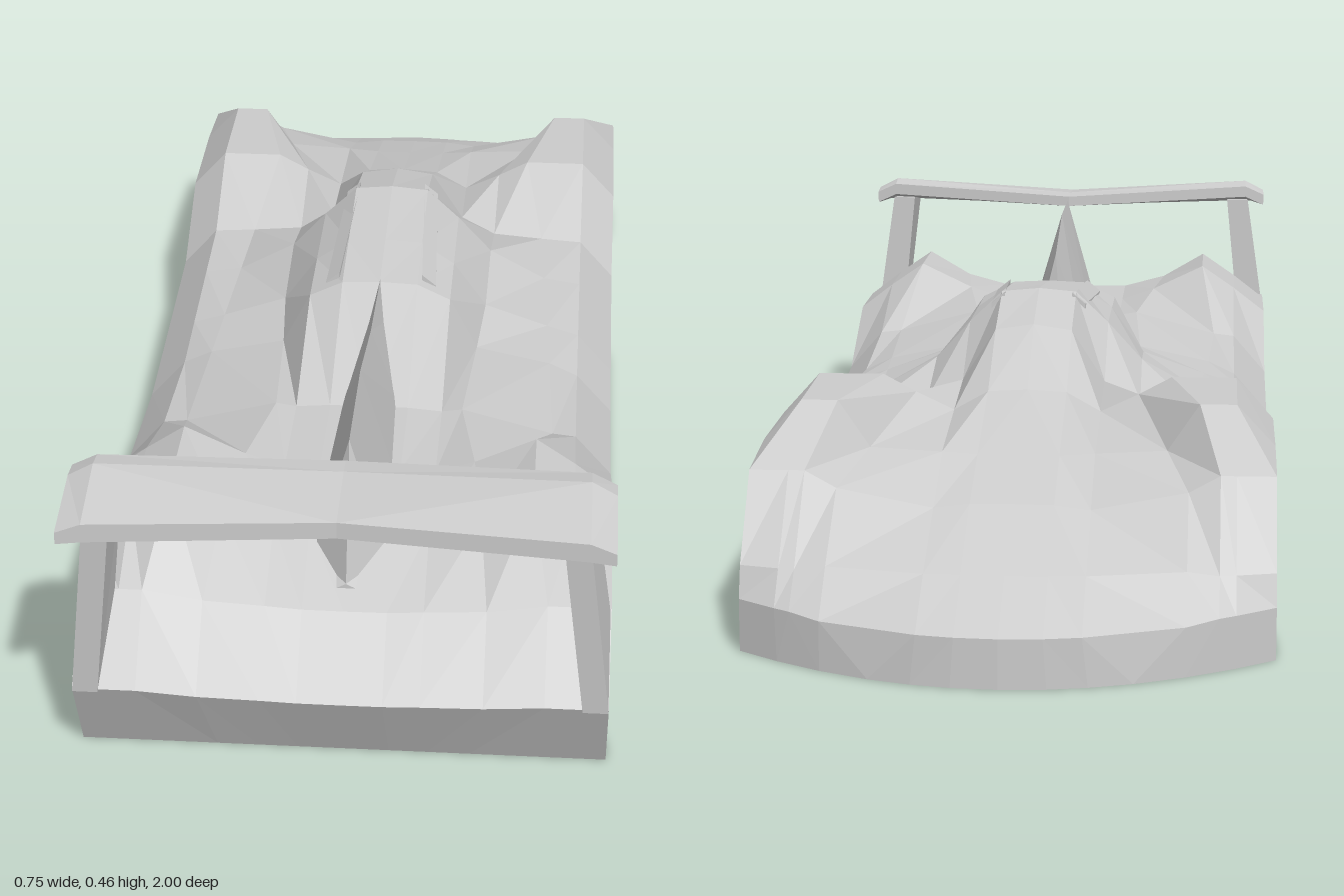
import * as THREE from 'three';

// Closed loft: each section lists its upper points from +x to -x, then its lower points back.
function loft(name, sections, material) {
  const pos = [];
  // The splitting diagonal is mirrored about x = 0 so both halves match.
  const quad = (a, b, c, d) => {
    if (a[0] + b[0] + c[0] + d[0] > 0) pos.push(...a, ...b, ...c, ...a, ...c, ...d);
    else pos.push(...a, ...b, ...d, ...b, ...c, ...d);
  };
  const n = sections[0].length;
  for (let j = 0; j < sections.length - 1; j++) {
    for (let i = 0; i < n; i++) {
      const k = (i + 1) % n;
      quad(sections[j][i], sections[j][k], sections[j + 1][k], sections[j + 1][i]);
    }
  }
  const first = sections[0], last = sections[sections.length - 1];
  for (let i = 0; i < n / 2 - 1; i++) {
    quad(last[i], last[i + 1], last[n - 2 - i], last[n - 1 - i]);
    quad(first[n - 1 - i], first[n - 2 - i], first[i + 1], first[i]);
  }
  const geometry = new THREE.BufferGeometry();
  geometry.setAttribute('position', new THREE.Float32BufferAttribute(pos, 3));
  geometry.computeVertexNormals(); // unshared corners keep the facets flat
  const mesh = new THREE.Mesh(geometry, material);
  mesh.name = name;
  return mesh;
}

const flip = ([x, y, z]) => [-x, y, z];

// Mirrors half rows (centre to +x edge) into a full section.
function section(top, bottom) {
  const row = (h) => [...h.slice().reverse(), ...h.slice(1).map(flip)];
  return [...row(top), ...row(bottom).reverse()];
}

// Piecewise straight line through [z, value] keys, level beyond both ends.
function line(...keys) {
  return (z) => {
    const i = keys.findIndex(([kz]) => kz >= z);
    if (i < 0) return keys[keys.length - 1][1];
    if (i === 0) return keys[0][1];
    const [z0, a] = keys[i - 1], [z1, b] = keys[i];
    return a + (b - a) * (z - z0) / (z1 - z0);
  };
}

// Feature lines running from nose (-z) to tail (+z)
const centreLine = line([-1, 0.07], [-0.88, 0.125], [-0.73, 0.19], [-0.4, 0.29], [-0.25, 0.365],
  [-0.11, 0.4], [0.17, 0.368], [0.38, 0.275], [0.73, 0.27], [0.86, 0.212], [0.955, 0.12]);
const canopySide = line([-1, 0.07], [-0.88, 0.125], [-0.595, 0.235], [-0.25, 0.275],
  [-0.11, 0.345], [0.17, 0.34], [0.38, 0.27], [0.73, 0.27], [0.86, 0.216], [0.955, 0.122]);
const valley = line([-1, 0.07], [-0.88, 0.128], [-0.73, 0.21], [-0.4, 0.285], [-0.25, 0.245],
  [-0.11, 0.285], [0.17, 0.255], [0.575, 0.29], [0.73, 0.29], [0.86, 0.221], [0.955, 0.124]);
const sideEdge = line([-1, 0.075], [-0.88, 0.12], [-0.73, 0.235], [-0.595, 0.25], [-0.4, 0.25],
  [-0.25, 0.17], [0.17, 0.145], [0.41, 0.17], [0.575, 0.25], [0.73, 0.25], [0.86, 0.235], [0.955, 0.13]);
// Plan positions of the valley beside the canopy and of the fender crests
const valleyX = line([-0.73, 0.25], [-0.4, 0.17], [0.05, 0.165], [0.38, 0.14], [0.575, 0.17], [0.86, 0.2]);
const crestX = line([-0.73, 0.295], [-0.4, 0.22], [-0.25, 0.25], [0.38, 0.285], [0.575, 0.26],
  [0.73, 0.26], [0.86, 0.285]);
// Fender crest height above the side edge, and the share of it kept at the outer shoulder
const crest = line([-0.73, 0], [-0.595, 0.06], [-0.4, 0.062], [0.17, 0.085], [0.41, 0.068],
  [0.575, 0.083], [0.73, 0.083], [0.86, 0]);
const shoulder = line([-0.4, 1], [0.17, 0.75], [0.41, 0.95], [0.575, 0.52]);
// Wheel-arch height, rounded nose plan and undercut tail
const arch = line([-0.73, 0], [-0.595, 0.22], [-0.4, 0.22], [-0.25, 0],
  [0.42, 0], [0.575, 0.22], [0.73, 0.22], [0.86, 0]);
const bow = line([-1, 1.15], [-0.88, 0.4], [-0.73, 0]);
const undercut = line([0.86, 0], [0.955, 0.06]);

function buildBody(material) {
  // Underside columns: the arches sink gradually toward the centre.
  const lowX = [0, 0.065, 0.12, 0.18, 0.25, 0.315, 0.374];
  const archDepth = [0.02, 0.08, 0.19, 0.4, 0.68, 0.87, 1];
  const stations = [-1, -0.88, -0.73, -0.595, -0.4, -0.25, -0.11, 0.05, 0.17, 0.4, 0.575, 0.73, 0.86, 0.955];
  return loft('body', stations.map((z) => {
    const centre = centreLine(z), edge = sideEdge(z), rise = crest(z);
    const roofEdge = centre + 0.1 * (canopySide(z) - centre);
    const topX = [0, 0.06, 0.112, valleyX(z), crestX(z), 0.318, 0.374];
    const heights = [centre, roofEdge, canopySide(z), valley(z), edge + rise, edge + rise * shoulder(z), edge];
    const plan = (x) => z + bow(z) * x * x;
    return section(
      topX.map((x, i) => [x, heights[i], plan(x)]),
      lowX.map((x, i) => [x, arch(z) * archDepth[i], plan(x) - undercut(z)])
    );
  }), material);
}

// Tapering spine with a sharp ridge
function buildFin(material) {
  const rows = [
    [0.16, 0.02, 0.3, 0.369], [0.36, 0.042, 0.265, 0.385], [0.56, 0.05, 0.26, 0.43],
    [0.755, 0.053, 0.24, 0.43], [0.825, 0.055, 0.205, 0.235],
  ];
  return loft('tailFin', rows.map(([z, w, base, top]) =>
    section([[0, top, z], [w, base, z]], [[0, base, z], [w, base, z]])), material);
}

// Swept rear wing, drooping at the middle and the tips
function buildWing(material) {
  const xs = [0, 0.34, 0.375];
  const row = (z, top, bottom) => {
    const pts = (ys) => ys.map((y, i) => [xs[i], y, z + 0.107 * xs[i]]);
    return section(pts(top), pts(bottom));
  };
  return loft('rearWing', [
    row(0.81, [0.43, 0.448, 0.432], [0.412, 0.428, 0.412]),
    row(0.845, [0.434, 0.455, 0.437], [0.41, 0.42, 0.408]),
    row(0.96, [0.425, 0.43, 0.418], [0.4, 0.402, 0.4]),
  ], material);
}

// Mirrors a four-cornered section to the chosen side.
const place = ([a, b, c, d], side) => (side > 0 ? [a, b, c, d] : [b, a, d, c].map(flip));

function buildStrut(name, side, material) {
  const front = [[0.345, 0.42, 0.86], [0.305, 0.42, 0.86], [0.325, 0.22, 0.86], [0.374, 0.22, 0.86]];
  const rear = [[0.342, 0.41, 0.985], [0.306, 0.41, 0.985], [0.338, 0.125, 0.955], [0.374, 0.125, 0.955]];
  return loft(name, [place(front, side), place(rear, side)], material);
}

// Narrow vane along the roof edge
function buildVane(name, side, material) {
  const row = (z, x, y) => place(
    [[x + 0.022, y - 0.018, z], [x, y, z], [x, y - 0.012, z], [x + 0.022, y - 0.03, z]], side);
  return loft(name, [row(-0.13, 0.054, 0.396), row(0.15, 0.066, 0.372)], material);
}

export function createModel() {
  const grey = new THREE.MeshStandardMaterial({ color: 0xcccccc });
  grey.name = 'bodyGrey';
  const car = new THREE.Group();
  car.name = 'raceCar';
  car.add(buildBody(grey), buildFin(grey), buildWing(grey));
  for (const [label, side] of [['left', 1], ['right', -1]]) {
    car.add(buildStrut(label + 'WingStrut', side, grey), buildVane(label + 'RoofVane', side, grey));
  }
  return car;
}
